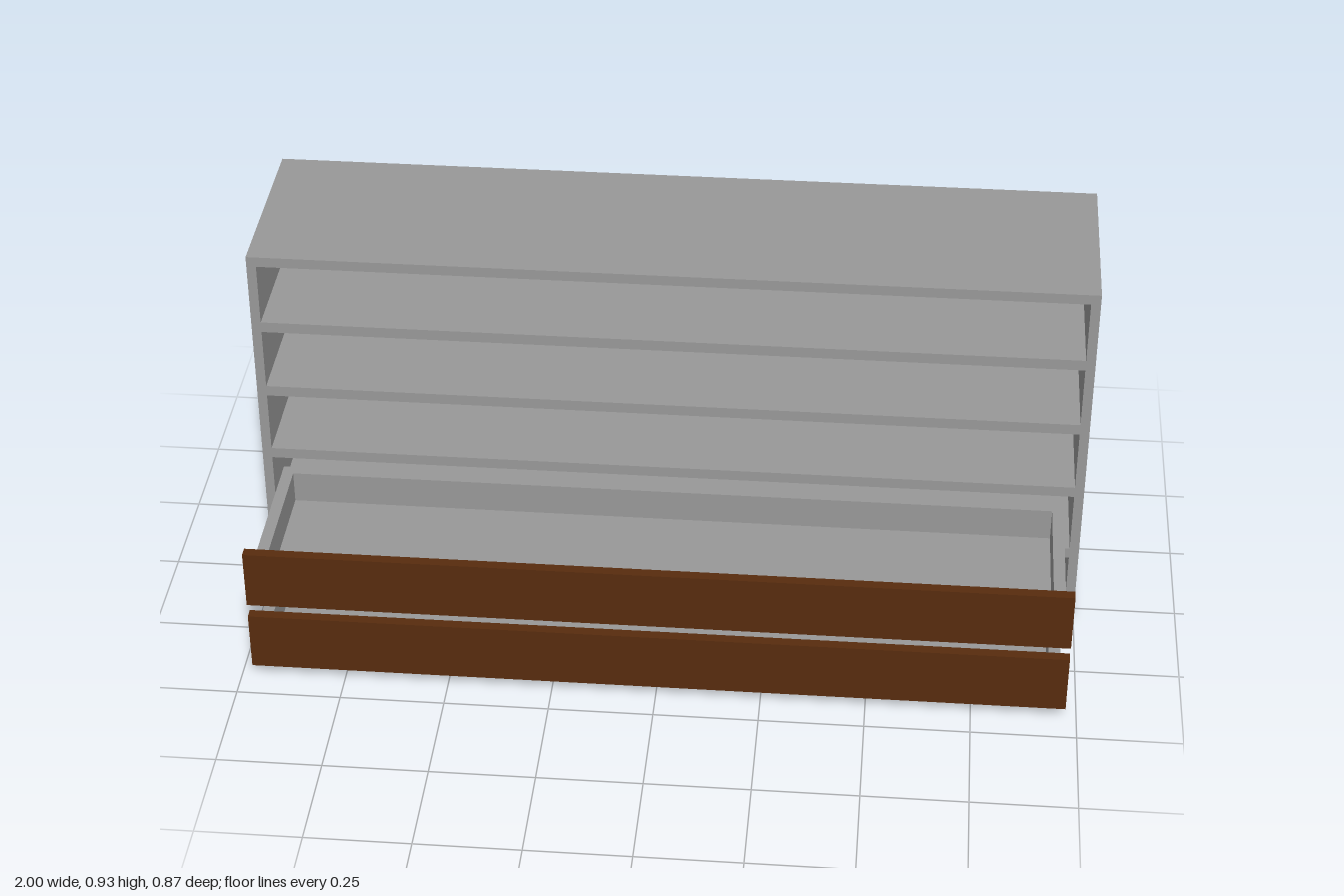
import * as THREE from 'three';

const grey = new THREE.MeshStandardMaterial({ color: 0x999999 });
grey.name = 'grey panel';
const brown = new THREE.MeshStandardMaterial({ color: 0x582c0e });
brown.name = 'brown wood';

const HEIGHT = 0.934, BACK = -0.434, FRONT = 0.034, BACK_PANEL = 0.025;
const BAYS = 5, PITCH = 0.182, OPENING = 0.155, FIRST_BAY = 0.0255, INNER_X = 0.977;

// Box given by its lower and upper corners
function box(name, material, [x0, y0, z0], [x1, y1, z1]) {
  const mesh = new THREE.Mesh(new THREE.BoxGeometry(x1 - x0, y1 - y0, z1 - z0), material);
  mesh.position.set((x0 + x1) / 2, (y0 + y1) / 2, (z0 + z1) / 2);
  mesh.name = name;
  return mesh;
}

function rectangle(PathType, x, y0, y1) {
  return new PathType([[-x, y0], [x, y0], [x, y1], [-x, y1]].map(p => new THREE.Vector2(...p)));
}

// Carcass with five open bays, closed by a back panel
function createCabinet() {
  const cabinet = new THREE.Group();
  cabinet.name = 'cabinet';
  const outline = rectangle(THREE.Shape, 1, 0, HEIGHT);
  for (let i = 0; i < BAYS; i++) {
    const y = FIRST_BAY + i * PITCH;
    outline.holes.push(rectangle(THREE.Path, INNER_X, y, y + OPENING));
  }
  const depth = FRONT - BACK - BACK_PANEL;
  const frame = new THREE.Mesh(
    new THREE.ExtrudeGeometry(outline, { depth, bevelEnabled: false }), grey);
  frame.position.z = BACK + BACK_PANEL;
  frame.name = 'shelfFrame';
  cabinet.add(frame, box('backPanel', grey, [-1, 0, BACK], [1, HEIGHT, BACK + BACK_PANEL]));
  return cabinet;
}

// Pulled-out open tray with a wooden front
function createDrawer(y) {
  const drawer = new THREE.Group();
  drawer.name = 'drawer';
  const x = 0.955, wall = 0.028, z0 = 0.012, z1 = 0.409;
  const bottom = 0.034, floor = 0.058, top = 0.139;
  drawer.add(
    box('drawerFloor', grey, [-x, bottom, z0], [x, floor, z1]),
    box('drawerBack', grey, [-x + wall, floor, z0], [x - wall, top, z0 + wall]),
    box('drawerRightSide', grey, [-x, floor, z0], [-x + wall, top, z1]),
    box('drawerLeftSide', grey, [x - wall, floor, z0], [x, top, z1]),
    box('drawerFront', brown, [-0.973, 0.031, z1], [0.973, 0.179, 0.434]));
  drawer.position.y = y;
  return drawer;
}

export function createModel() {
  const model = new THREE.Group();
  model.name = 'chestOfDrawers';
  model.add(createCabinet());
  for (let i = 0; i < 2; i++) model.add(createDrawer(i * PITCH));
  return model;
}
